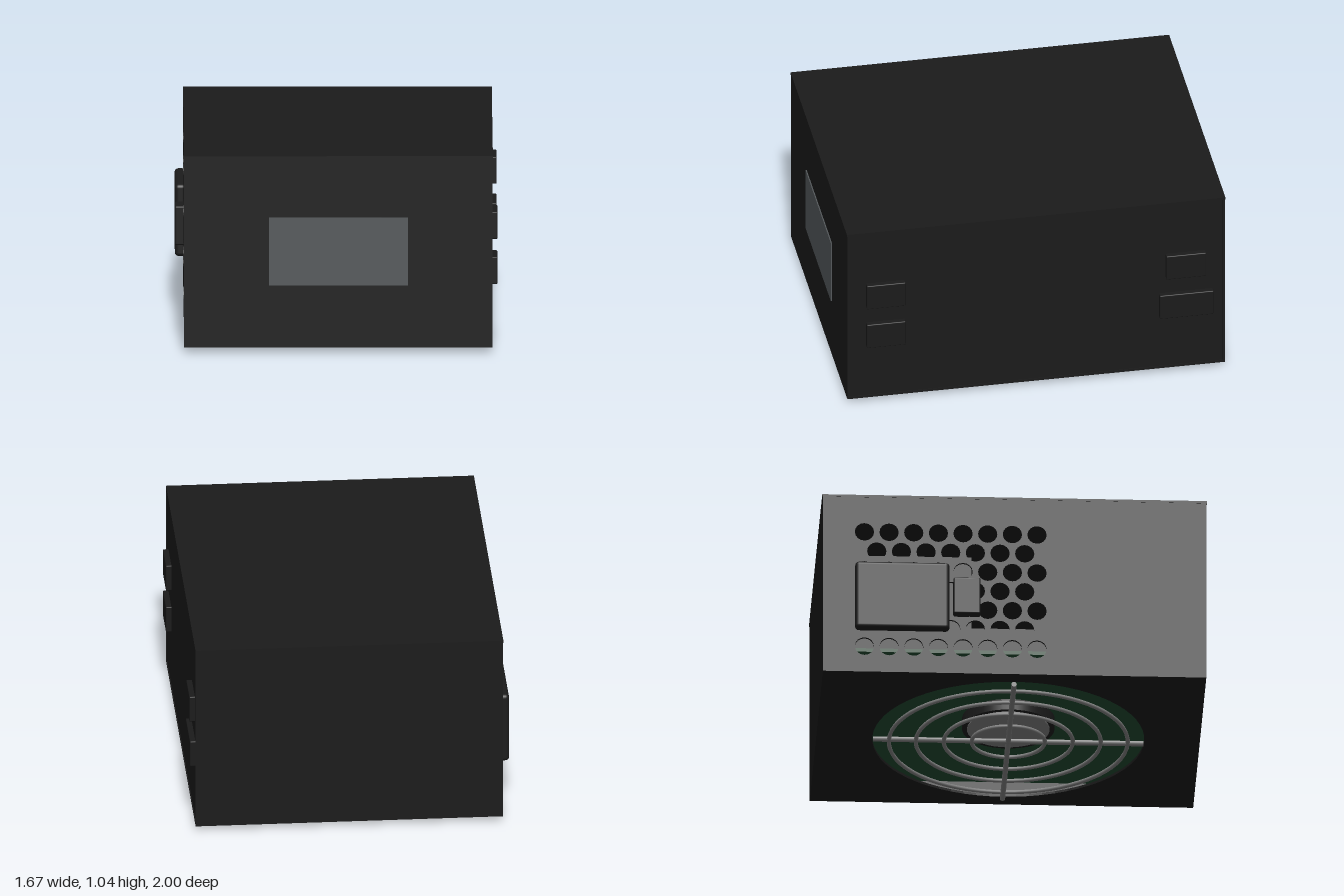
import * as THREE from 'three';
import { RoundedBoxGeometry } from 'three/addons/geometries/RoundedBoxGeometry.js';

const mat = (name, color) => {
  const m = new THREE.MeshStandardMaterial({ color });
  m.name = name;
  return m;
};

export function createModel() {
  const model = new THREE.Group();
  model.name = 'powerSupply';

  const black = mat('blackSteel', 0x1b1b1b);
  const plastic = mat('blackPlastic', 0x1c1c1c);
  const grey = mat('labelGrey', 0x54585b);
  const wire = mat('wireMetal', 0x828282);
  const green = mat('boardGreen', 0x214c31);

  const add = (name, geometry, material, x = 0, y = 0, z = 0, parent = model) => {
    const mesh = new THREE.Mesh(geometry, material);
    mesh.name = name;
    mesh.position.set(x, y, z);
    parent.add(mesh);
    return mesh;
  };
  // box given by its limits on each axis
  const box = (name, material, [x0, x1], [y0, y1], [z0, z1], radius = 0) => {
    const size = [x1 - x0, y1 - y0, z1 - z0];
    const g = radius ? new RoundedBoxGeometry(...size, 3, radius) : new THREE.BoxGeometry(...size);
    return add(name, g, material, (x0 + x1) / 2, (y0 + y1) / 2, (z0 + z1) / 2);
  };
  const rectangle = (x0, x1, y0, y1) => new THREE.Shape([
    new THREE.Vector2(x0, y0), new THREE.Vector2(x1, y0),
    new THREE.Vector2(x1, y1), new THREE.Vector2(x0, y1),
  ]);
  const punch = (shape, x, y, r) => shape.holes.push(new THREE.Path().absarc(x, y, r, 0, Math.PI * 2, true));

  const L = -0.79, R = 0.81, T = 0.013, CX = 0.01;
  const BOTTOM = 0.026, SEAM = 1.023, BACK = -0.997, FRONT = 0.994;

  // casing sheets; the cover overhangs the walls a little
  box('topCover', black, [L - 0.001, R + 0.001], [SEAM, 1.036], [-1, 0.997]);
  box('frontWall', black, [L, R], [BOTTOM, SEAM], [FRONT - T, FRONT]);
  box('backWall', black, [L, R], [BOTTOM, SEAM], [BACK, BACK + T]);
  box('leftWall', black, [R - T - 0.004, R - 0.004], [BOTTOM + T, SEAM], [BACK + T, FRONT - T]);

  // vented wall with staggered round holes
  const vent = rectangle(BACK + T, FRONT - T, BOTTOM + T, SEAM);
  for (let row = 0; row < 7; row++) {
    const odd = row % 2;
    for (let col = 0; col < 8 - odd; col++) {
      punch(vent, 0.115 - 0.128 * col - 0.064 * odd, 0.825 - 0.109 * row, 0.05);
    }
  }
  const ventGeometry = new THREE.ExtrudeGeometry(vent, { depth: T, bevelEnabled: false, curveSegments: 8 });
  ventGeometry.rotateY(-Math.PI / 2);
  add('ventedWall', ventGeometry, black, L + T);

  // floor with the fan opening
  const floor = rectangle(L, R, BACK + T, FRONT - T);
  punch(floor, CX, 0, 0.706);
  const floorGeometry = new THREE.ExtrudeGeometry(floor, { depth: T, bevelEnabled: false, curveSegments: 32 });
  floorGeometry.rotateX(Math.PI / 2);
  add('floor', floorGeometry, black, 0, BOTTOM + T);

  // front label plate
  box('frontLabel', grey, [-0.35, 0.37], [0.355, 0.712], [FRONT, 1]);

  // connector blocks on the left side
  const upper = [0.58, 0.722], lower = [0.342, 0.484];
  for (const [y, z] of [
    [upper, [0.69, 0.895]], [lower, [0.69, 0.895]],
    [upper, [-0.895, -0.685]], [lower, [-0.935, -0.65]],
  ]) box('connector', black, [R - T, 0.835], y, z, 0.005);

  // mains socket and power switch
  box('mainsSocket', plastic, [-0.835, L + T], [0.26, 0.64], [-0.83, -0.34], 0.02);
  box('powerSwitch', plastic, [-0.835, L + T], [0.35, 0.555], [-0.32, -0.18], 0.008);

  // inside: circuit board and filter block
  box('circuitBoard', green, [L + T, R - T - 0.004], [0.145, 0.165], [BACK + T, FRONT - T]);
  box('filterBlock', plastic, [-0.68, -0.4], [0.165, 0.74], [-0.85, -0.22]);

  // fan hub
  add('fanHub', new THREE.CylinderGeometry(0.24, 0.24, 0.06, 40), plastic, CX, 0.115);
  add('hubCap', new THREE.CylinderGeometry(0.215, 0.215, 0.006, 40), wire, CX, 0.083);

  // wire fan guard
  const guard = new THREE.Group();
  guard.name = 'fanGuard';
  guard.position.set(CX, 0, 0);
  model.add(guard);
  for (const r of [0.19, 0.335, 0.48, 0.62]) {
    add('guardRing', new THREE.TorusGeometry(r, 0.011, 8, 64), wire, 0, 0.012, 0, guard).rotation.x = Math.PI / 2;
  }
  const rod = new THREE.CylinderGeometry(0.014, 0.014, 1.405, 10);
  add('guardRodAcross', rod, wire, 0, 0.014, 0, guard).rotation.z = Math.PI / 2;
  add('guardRodAlong', rod, wire, 0, 0.014, 0, guard).rotation.x = Math.PI / 2;

  return model;
}
